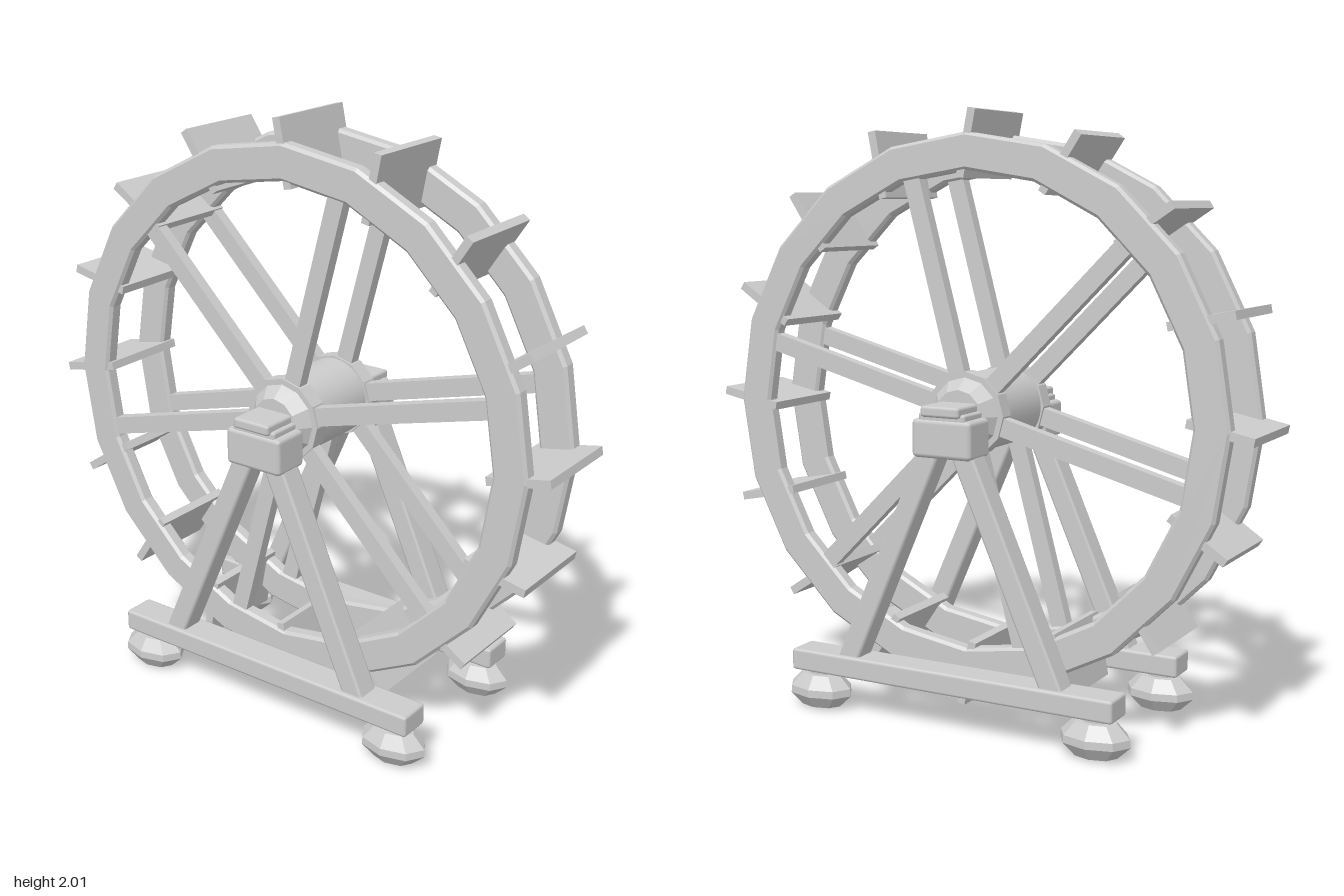
import * as THREE from 'three';
import { RoundedBoxGeometry } from 'three/addons/geometries/RoundedBoxGeometry.js';

const AXLE_Y = 1.03;

export function createModel() {
  const model = new THREE.Group();
  model.name = 'waterWheel';
  const wood = new THREE.MeshStandardMaterial({ color: 0xcccccc });
  wood.name = 'paleGrey';

  const add = (parent, name, geometry, x = 0, y = 0, z = 0, turn = 0) => {
    const mesh = new THREE.Mesh(geometry, wood);
    mesh.name = name;
    mesh.position.set(x, y, z);
    mesh.rotation.z = turn;
    parent.add(mesh);
    return mesh;
  };
  const faceted = (geometry) => {
    const flat = geometry.index ? geometry.toNonIndexed() : geometry;
    flat.computeVertexNormals();
    return flat;
  };
  const bevelled = (w, h, d, r = 0.01) => new RoundedBoxGeometry(w, h, d, 1, r);
  const polygon = (radius, sides) => Array.from({ length: sides }, (_, i) => {
    const a = Math.PI / 2 + (i * Math.PI * 2) / sides;
    return new THREE.Vector2(Math.cos(a) * radius, Math.sin(a) * radius);
  });

  // Wheel: two bevelled rims, spokes, paddles and the hub
  const wheel = new THREE.Group();
  wheel.name = 'wheel';
  wheel.position.y = AXLE_Y;
  model.add(wheel);

  const rimShape = new THREE.Shape(polygon(0.9, 20));
  rimShape.holes.push(new THREE.Path(polygon(0.78, 20).reverse()));
  const rimGeometry = new THREE.ExtrudeGeometry(rimShape, {
    depth: 0.035, bevelEnabled: true, bevelSegments: 1,
    bevelThickness: 0.01, bevelSize: 0.01, bevelOffset: -0.01,
  });
  rimGeometry.translate(0, 0, -0.0175);
  const spokeGeometry = new THREE.BoxGeometry(0.7, 0.06, 0.04);
  for (const side of [1, -1]) {
    add(wheel, 'rim', rimGeometry, 0, 0, side * 0.143);
    for (let i = 0; i < 6; i++) {
      const a = Math.PI / 12 + (i * Math.PI) / 3;
      add(wheel, 'spoke', spokeGeometry, Math.cos(a) * 0.44, Math.sin(a) * 0.44, side * 0.143, a);
    }
  }

  // Paddles lean a little from the radius
  const paddleGeometry = new THREE.BoxGeometry(0.22, 0.028, 0.328);
  for (let i = 0; i < 16; i++) {
    const a = (i * Math.PI) / 8;
    add(wheel, 'paddle', paddleGeometry, Math.cos(a) * 0.865, Math.sin(a) * 0.865, 0, a + 0.2);
  }

  // Smooth hub drum with tapering ends running into the bearings
  const drum = new THREE.CylinderGeometry(0.13, 0.13, 0.24, 32, 1, true);
  drum.rotateX(Math.PI / 2);
  add(wheel, 'hubDrum', drum);
  for (const side of [1, -1]) {
    const collar = new THREE.CylinderGeometry(0.14, 0.14, 0.055, 12);
    collar.rotateX(Math.PI / 2);
    add(wheel, 'hubCollar', faceted(collar), 0, 0, side * 0.143);
    const cone = new THREE.CylinderGeometry(0.085, 0.125, 0.05, 12);
    cone.rotateX((side * Math.PI) / 2);
    add(wheel, 'hubCone', faceted(cone), 0, 0, side * 0.19);
  }

  // Two A-frame stands, front and back
  const footProfile = [[0, 0], [0.075, 0.008], [0.12, 0.05], [0.118, 0.075], [0.075, 0.118], [0.045, 0.118], [0.045, 0.145], [0, 0.145]]
    .map(([x, y]) => new THREE.Vector2(x, y));
  const footGeometry = faceted(new THREE.LatheGeometry(footProfile, 8).scale(1, 1, 0.66));
  const top = new THREE.Vector2(0.055, 0.93);
  const bottom = new THREE.Vector2(0.39, 0.17);
  const legMiddle = top.clone().add(bottom).multiplyScalar(0.5);
  const legLean = Math.atan2(bottom.x - top.x, top.y - bottom.y);
  const legGeometry = bevelled(0.075, top.distanceTo(bottom), 0.085);

  for (const side of [1, -1]) {
    const stand = new THREE.Group();
    stand.name = side > 0 ? 'frontStand' : 'backStand';
    stand.position.z = side * 0.262;
    model.add(stand);

    add(stand, 'baseBeam', bevelled(1.19, 0.074, 0.115), 0, 0.169, 0);
    add(stand, 'bearingBlock', bevelled(0.215, 0.125, 0.135, 0.015), 0, 0.968, 0);
    add(stand, 'bearingSaddle', bevelled(0.17, 0.03, 0.12, 0.008), 0, 1.035, 0);
    add(stand, 'bearingCap', bevelled(0.14, 0.036, 0.15), 0, 1.056, 0);
    for (const x of [1, -1]) {
      add(stand, 'leg', legGeometry, x * legMiddle.x, legMiddle.y, 0, x * legLean);
      add(stand, 'foot', footGeometry, x * 0.515, 0, 0);
    }
  }
  return model;
}
